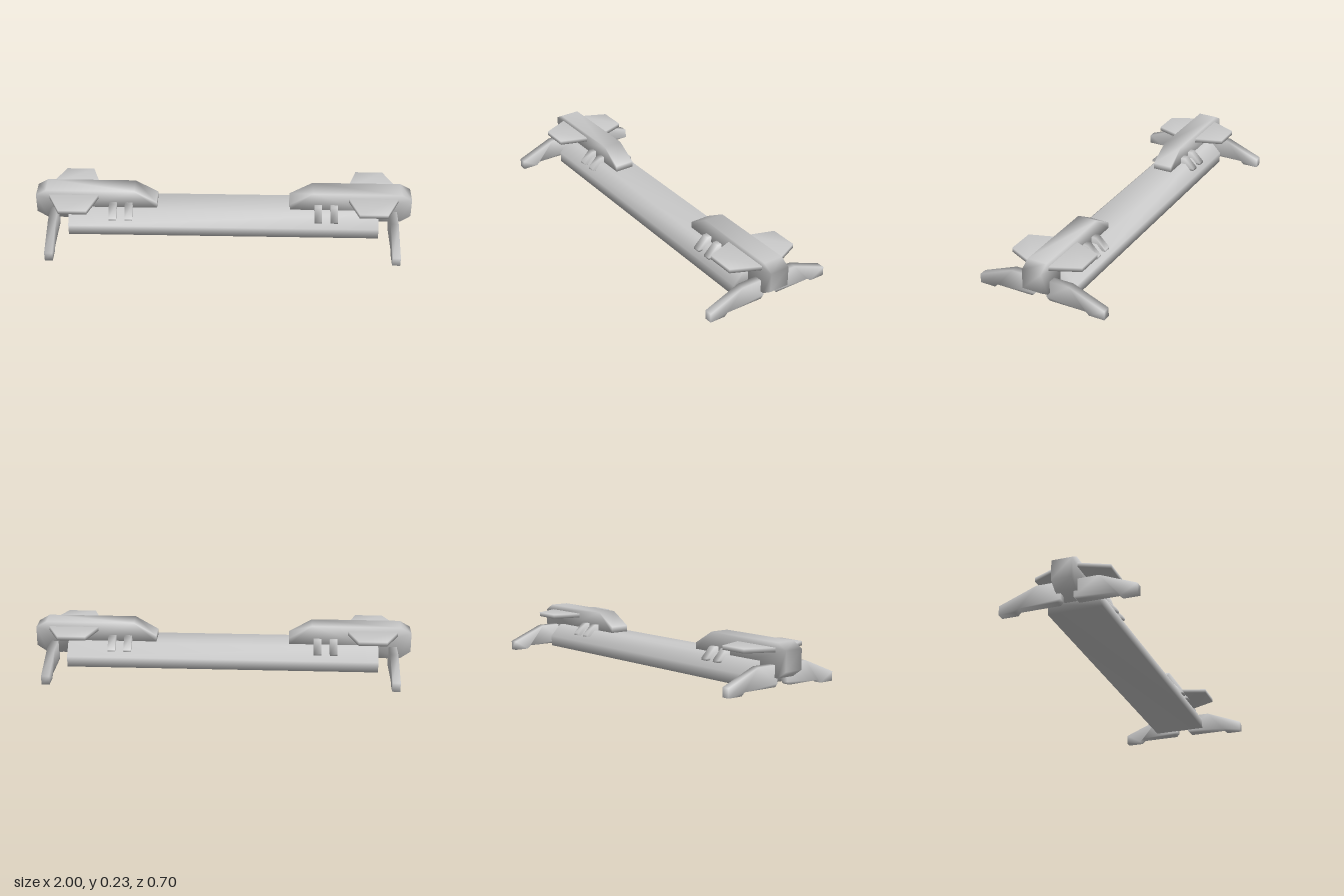
import * as THREE from 'three';
import { mergeVertices } from 'three/addons/utils/BufferGeometryUtils.js';

const material = new THREE.MeshStandardMaterial({ color: 0xcccccc });

// Extrude an outline by a depth centred on its plane, with soft shared normals
function slab(points, depth) {
  const shape = new THREE.Shape(points.map(([a, b]) => new THREE.Vector2(a, b)));
  let geo = new THREE.ExtrudeGeometry(shape, { depth, bevelEnabled: false });
  geo.translate(0, 0, -depth / 2);
  geo.deleteAttribute('uv');
  geo.deleteAttribute('normal');
  geo = mergeVertices(geo);
  geo.computeVertexNormals();
  return geo;
}

// Outline given as (z, y), extruded along x
const alongX = (points, depth) => slab(points, depth).rotateY(-Math.PI / 2);
// Outline given as (x, z), extruded along y
const alongY = (points, depth) => slab(points, depth).rotateX(Math.PI / 2);
// Complete a half outline by mirroring its first coordinate
const mirrored = (half) => [...half, ...half.map(([a, b]) => [-a, b]).reverse()];

function part(name, geometry, x = 0, y = 0) {
  const mesh = new THREE.Mesh(geometry, material);
  mesh.name = name;
  mesh.position.set(x, y, 0);
  return mesh;
}

// Everything mounted on one end of the beam
function createEnd(name) {
  const end = new THREE.Group();
  end.name = name;

  // Bevelled housing on top of the beam end
  end.add(part('housing', slab([
    [0.355, 0.13], [0.76, 0.13], [0.81, 0.062], [0.945, 0.062], [1, 0.1],
    [1, 0.203], [0.945, 0.235], [0.475, 0.235], [0.355, 0.165],
  ], 0.105)));

  // Tapered side fins
  const finEdge = [[0.93, 0.05], [0.862, 0.197], [0.715, 0.197], [0.665, 0.05]];
  for (const s of [1, -1]) {
    end.add(part('fin', alongY(finEdge.map(([x, z]) => [x, s * z]), 0.022), 0, 0.198));
  }

  // Clamps that follow the beam's bevels
  const clampHalf = [[0.11, 0.1], [0.13, 0.1], [0.13, 0.111], [0.076, 0.165]];
  for (const x of [0.505, 0.59]) {
    end.add(part('clamp', alongX(mirrored(clampHalf), 0.04), x));
  }

  // Splayed legs with a stepped foot
  const leg = [
    [0.352, 0], [0.352, 0.048], [0.16, 0.125], [0.033, 0.125],
    [0.033, 0.033], [0.048, 0.017], [0.25, 0.017], [0.268, 0],
  ];
  for (const s of [1, -1]) {
    end.add(part('leg', alongX(leg.map(([z, y]) => [s * z, y]), 0.042), 0.905));
  }
  return end;
}

export function createModel() {
  const model = new THREE.Group();
  model.name = 'lightBar';

  // Long beam with bevelled upper edges
  const beamHalf = [[0.14, 0.014], [0.14, 0.07], [0.08, 0.132]];
  model.add(part('beam', alongX(mirrored(beamHalf), 1.652)));

  // Matching ends
  const left = createEnd('leftEnd');
  const right = createEnd('rightEnd');
  right.rotation.y = Math.PI;
  model.add(left, right);
  return model;
}
